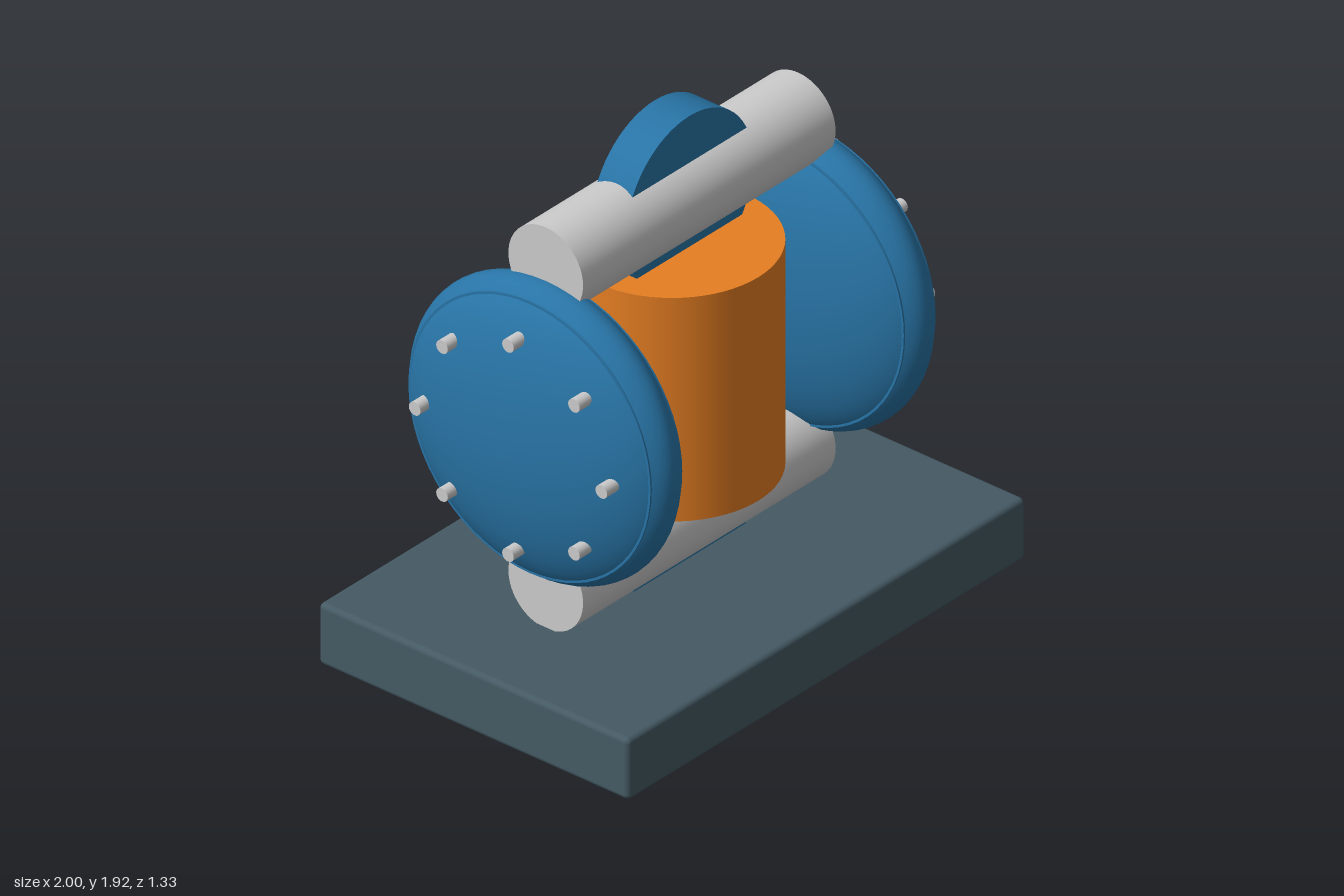
import * as THREE from 'three';
import { RoundedBoxGeometry } from 'three/addons/geometries/RoundedBoxGeometry.js';

const paint = (color) => new THREE.MeshStandardMaterial({ color });

export function createModel() {
  const model = new THREE.Group();
  model.name = 'diaphragmPump';
  const blue = paint(0x2874a6), orange = paint(0xe67e22), slate = paint(0x455a64), grey = paint(0xcccccc);

  const add = (parent, name, geometry, material, x = 0, y = 0, z = 0) => {
    const mesh = new THREE.Mesh(geometry, material);
    mesh.name = name;
    mesh.position.set(x, y, z);
    parent.add(mesh);
    return mesh;
  };
  const cylinderX = (r, length) => new THREE.CylinderGeometry(r, r, length, 64).rotateZ(Math.PI / 2);

  // Base slab with softened edges
  add(model, 'base', new RoundedBoxGeometry(2, 0.235, 1.33, 4, 0.02), slate, 0, 0.1175, 0);

  // Central air motor
  add(model, 'centreBody', new THREE.CylinderGeometry(0.37, 0.37, 0.855, 64), orange, 0, 0.9975, 0);

  // Outlet and inlet manifolds, each clasped by an upright disc
  for (const [side, y] of [['upper', 1.605], ['lower', 0.39]]) {
    add(model, `${side}Manifold`, cylinderX(0.16, 1.27), grey, 0, y, 0);
    const disc = new THREE.CylinderGeometry(0.32, 0.32, 0.15, 64).rotateX(Math.PI / 2);
    add(model, `${side}ManifoldDisc`, disc, blue, 0, y, 0);
  }

  // Diaphragm chambers: flattened ball, flange ring and a circle of bolts
  for (const [name, s] of [['leftChamber', 1], ['rightChamber', -1]]) {
    const chamber = new THREE.Group();
    chamber.name = name;
    chamber.position.set(s * 0.637, 1, 0);
    model.add(chamber);

    const shell = new THREE.SphereGeometry(0.56, 64, 40).rotateZ(Math.PI / 2).scale(0.348, 1, 1);
    add(chamber, 'shell', shell, blue);
    add(chamber, 'flange', cylinderX(0.519, 0.16), blue);

    for (let i = 0; i < 8; i++) {
      const a = (i * Math.PI) / 4;
      const bolt = new THREE.CylinderGeometry(0.025, 0.025, 0.09, 20).rotateZ(Math.PI / 2);
      add(chamber, 'bolt', bolt, grey, s * 0.143, 0.4 * Math.sin(a), 0.4 * Math.cos(a));
    }
  }

  return model;
}
